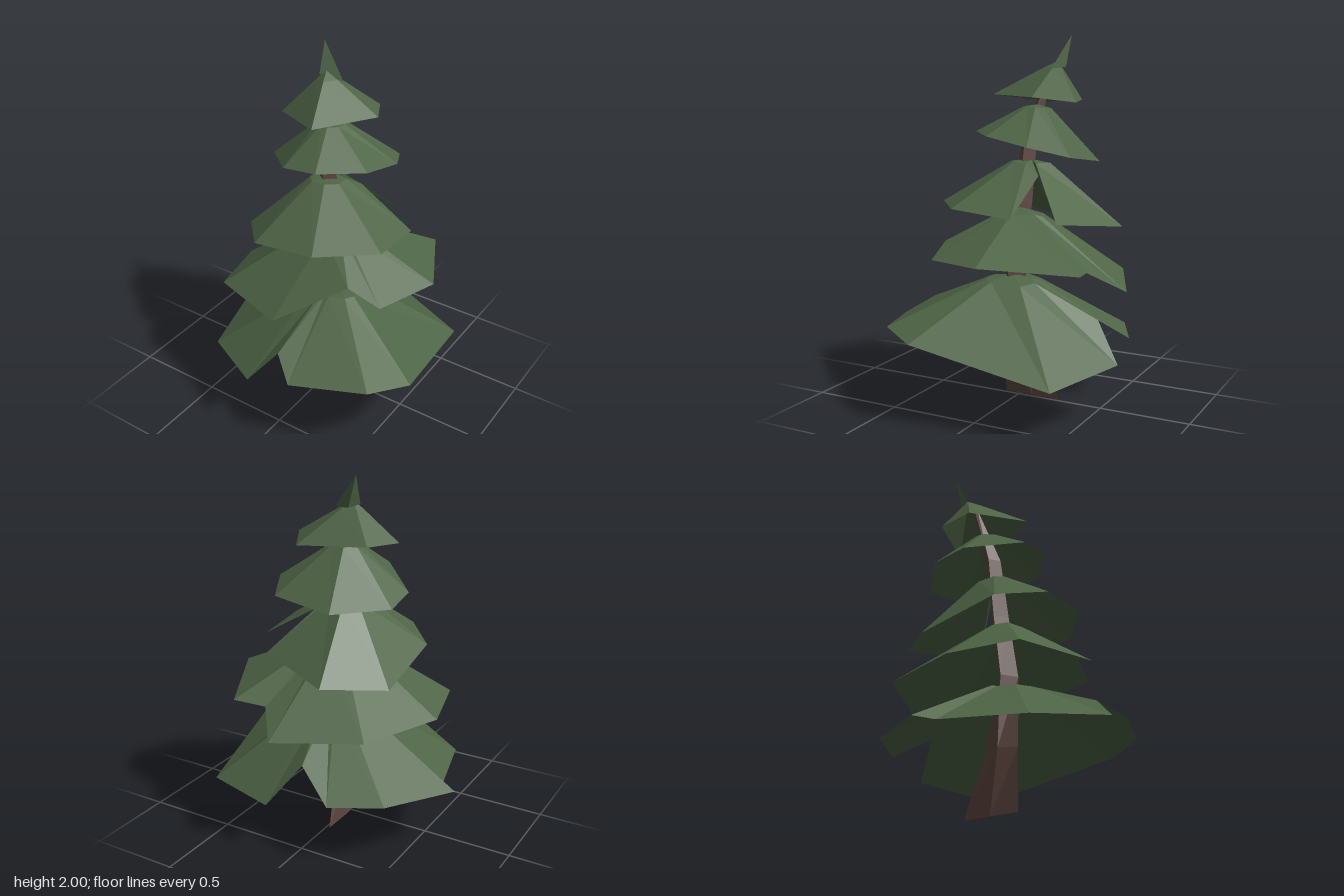
import * as THREE from 'three';

// Flat-shaded mesh from a list of triangles made of [x, y, z] corners
function facetMesh(name, triangles, material) {
  const geometry = new THREE.BufferGeometry();
  geometry.setAttribute('position', new THREE.Float32BufferAttribute(triangles.flat(2), 3));
  geometry.computeVertexNormals();
  const mesh = new THREE.Mesh(geometry, material);
  mesh.name = name;
  return mesh;
}

const mix = (a, b, t) => a + (b - a) * t;

// Drooping open skirt: hub, shoulder ring and ragged rim, anticlockwise from above.
// The rim is given as [x, z]; its height follows a tilted, twisted sheet,
// and notches that cut in close to the hub ride up the slope.
function skirt(name, material, { hub, sag, level, tiltX, tiltZ, twist = 0, outline }) {
  const core = 0.95 - 0.41 * hub[1];
  const rim = outline.map(([x, z, lift = 0]) => {
    const notch = Math.max(0, core - Math.hypot(x - hub[0], z - hub[2]));
    return [x, level + tiltX * x + tiltZ * z + twist * x * z + notch + lift, z];
  });
  const reach = 0.22;
  const shoulder = rim.map((p) => [
    mix(hub[0], p[0], reach),
    mix(hub[1], p[1], reach * sag),
    mix(hub[2], p[2], reach),
  ]);
  const triangles = [];
  rim.forEach((p, i) => {
    const j = (i + 1) % rim.length;
    triangles.push([hub, shoulder[i], shoulder[j]]);
    triangles.push([shoulder[i], p, rim[j]], [shoulder[i], rim[j], shoulder[j]]);
  });
  return facetMesh(name, triangles, material);
}

// Four-sided trunk; each section is height, min x, max x, front z, back z
function trunk(material) {
  const rings = [
    [0, -0.025, -0.015, 0.09, -0.24],
    [0.35, -0.04, 0.045, 0.08, -0.12],
    [0.75, -0.055, 0.12, 0.065, -0.05],
    [1.1, -0.075, 0.06, 0.03, -0.08],
    [1.45, -0.1, 0.01, 0, -0.09],
    [1.8, -0.12, -0.1, -0.12, -0.15],
  ].map(([y, x0, x1, front, back]) => {
    const x = (x0 + x1) / 2, z = (front + back) / 2;
    return [[x0, y, z], [x, y, front], [x1, y, z], [x, y, back]];
  });
  const triangles = [];
  for (let r = 0; r < rings.length - 1; r++) {
    const a = rings[r], b = rings[r + 1];
    for (let i = 0; i < 4; i++) {
      const j = (i + 1) % 4;
      triangles.push([a[i], a[j], b[j]], [a[i], b[j], b[i]]);
    }
  }
  // Closed foot
  const [left, front, right, back] = rings[0];
  triangles.push([left, right, front], [left, back, right]);
  return facetMesh('trunk', triangles, material);
}

// Small leaning spike above the top branches
function treeTip(material) {
  const tip = [-0.18, 2, -0.23];
  const base = [[-0.16, 1.84, -0.15], [-0.03, 1.82, -0.18], [-0.13, 1.83, -0.22]];
  return facetMesh('treeTip', base.map((p, i) => [p, base[(i + 1) % 3], tip]), material);
}

export function createModel() {
  const needles = new THREE.MeshStandardMaterial({ color: 0x4f6546, flatShading: true, side: THREE.DoubleSide });
  needles.name = 'needle green';
  const bark = new THREE.MeshStandardMaterial({ color: 0x5f4741, flatShading: true, side: THREE.DoubleSide });
  bark.name = 'bark brown';

  const tree = new THREE.Group();
  tree.name = 'firTree';
  tree.add(trunk(bark), treeTip(needles));

  // Branch layers, bottom to top
  tree.add(skirt('bottomBranches', needles, {
    hub: [0.07, 0.71, 0], sag: 0.4, level: 0.35, tiltX: 0.03, tiltZ: 0.07, twist: 0.25,
    outline: [[-0.48, 0.44], [-0.08, 0.665], [0.03, 0.53], [0.17, 0.635], [0.57, 0.49], [0.7, 0.27],
      [0.585, -0.475], [0.125, -0.645], [0, -0.48], [-0.21, -0.58], [-0.475, -0.45], [-0.7, -0.07], [-0.6, 0]],
  }));
  tree.add(skirt('lowerBranches', needles, {
    hub: [0.04, 1.08, -0.03], sag: 0.5, level: 0.765, tiltX: 0.14, tiltZ: 0.02,
    outline: [[-0.455, 0.38], [0, 0.53, -0.05], [0.31, 0.28], [0.49, 0.255], [0.62, -0.08],
      [0.385, -0.54], [0.21, -0.5], [0.08, -0.67, -0.08], [-0.37, -0.475], [-0.545, 0.01]],
  }));
  tree.add(skirt('middleBranches', needles, {
    hub: [-0.04, 1.335, -0.05], sag: 0.25, level: 1.05, tiltX: 0.09, tiltZ: 0.1,
    outline: [[-0.39, 0.19], [-0.2, 0.4], [0.155, 0.385], [0.435, 0.165], [0.42, -0.17],
      [0.1, -0.17], [0.285, -0.365], [-0.155, -0.55], [-0.4, -0.27, -0.06]],
  }));
  tree.add(skirt('upperBranches', needles, {
    hub: [-0.05, 1.63, -0.09], sag: 0.3, level: 1.43, tiltX: 0.12, tiltZ: 0.2,
    outline: [[-0.375, -0.02], [-0.135, 0.22], [0.07, 0.225], [0.27, 0.05],
      [0.3, -0.2], [0.2, -0.4], [-0.135, -0.42], [-0.38, -0.215]],
  }));
  tree.add(skirt('topBranches', needles, {
    hub: [-0.13, 1.86, -0.17], sag: 0.9, level: 1.67, tiltX: 0.1, tiltZ: 0.08,
    outline: [[-0.32, -0.03], [0, 0.155], [0.19, -0.175], [0.08, -0.375], [-0.26, -0.26]],
  }));
  return tree;
}
